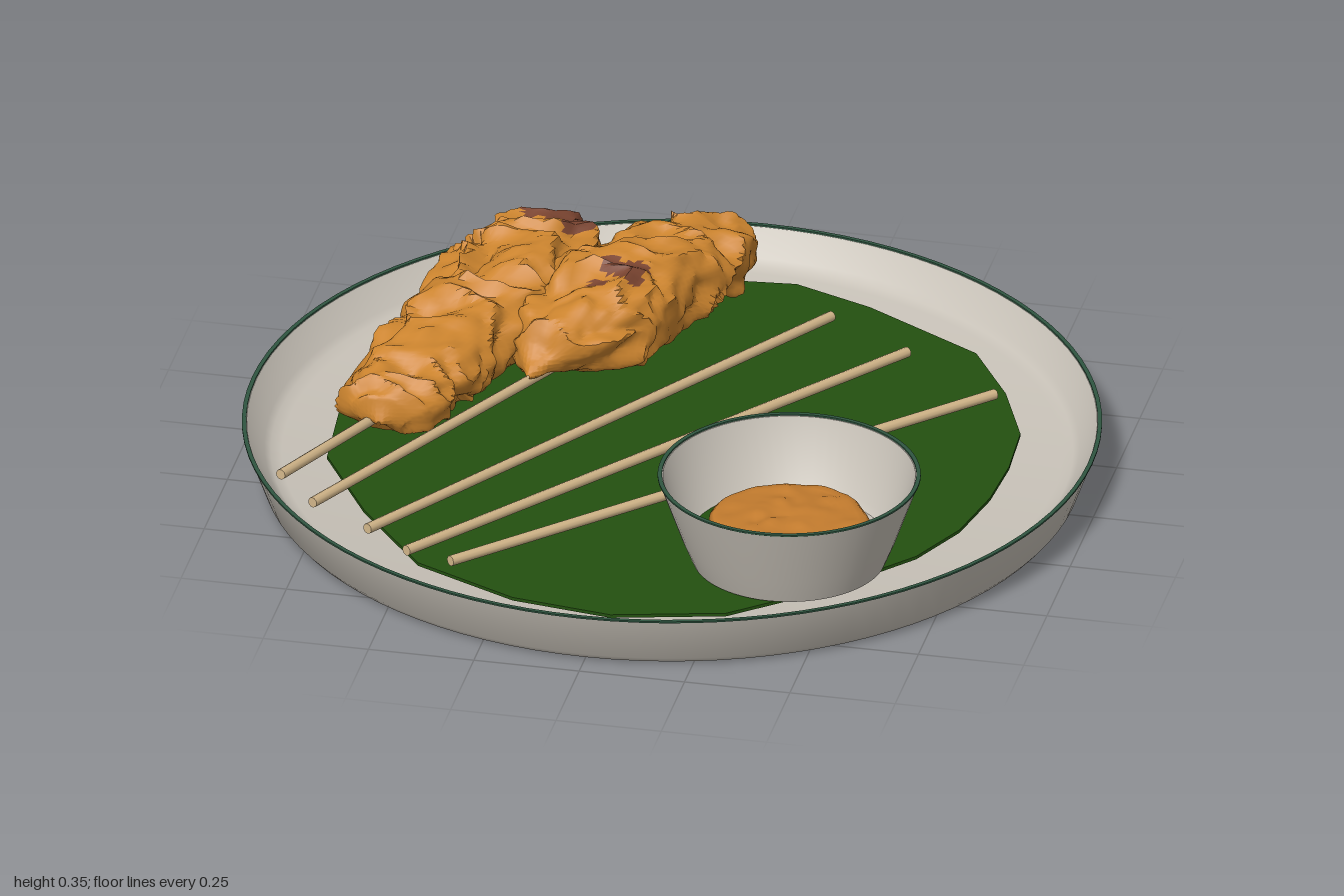
import * as THREE from 'three';
import { toCreasedNormals } from 'three/addons/utils/BufferGeometryUtils.js';

const mat = (name, color, extra = {}) => {
  const m = new THREE.MeshStandardMaterial({ color, ...extra });
  m.name = name;
  return m;
};

// Smooth seeded value noise in the range -1..1
const hash = (x, y, z) => {
  const s = Math.sin(x * 127.1 + y * 311.7 + z * 74.7) * 43758.5453;
  return s - Math.floor(s);
};
function noise(x, y, z) {
  const i = [x, y, z].map(Math.floor);
  const [u, v, w] = [x - i[0], y - i[1], z - i[2]].map((f) => f * f * (3 - 2 * f));
  let sum = 0;
  for (let c = 0; c < 8; c++) {
    const a = c & 1, b = (c >> 1) & 1, d = c >> 2;
    sum += hash(i[0] + a, i[1] + b, i[2] + d) * (a ? u : 1 - u) * (b ? v : 1 - v) * (d ? w : 1 - w);
  }
  return sum * 2 - 1;
}

const lathe = (points, segments = 96) =>
  toCreasedNormals(new THREE.LatheGeometry(points.map(([x, y]) => new THREE.Vector2(x, y)), segments), 0.5);

// Lumpy meat: cross-sections [centre x, z, half width, bottom y, top y] lofted along z
function meatGeometry(stations, patches, seed) {
  const spine = new THREE.CatmullRomCurve3(stations.map((s) => new THREE.Vector3(s[0], s[2], s[1])));
  const heights = new THREE.CatmullRomCurve3(stations.map((s) => new THREE.Vector3(s[3], s[4], 0)));
  const rows = 96, cols = 64, pos = [];
  for (let r = 0; r <= rows; r++) {
    const p = spine.getPoint(r / rows), h = heights.getPoint(r / rows);
    const cy = (h.x + h.y) / 2, ry = Math.max((h.y - h.x) / 2, 0.002), rx = Math.max(p.y, 0.002);
    for (let c = 0; c < cols; c++) {
      const a = (c / cols) * Math.PI * 2;
      const dx = Math.sign(Math.cos(a)) * Math.abs(Math.cos(a)) ** 0.85;
      const dy = Math.sign(Math.sin(a)) * Math.abs(Math.sin(a)) ** 0.85;
      const x = p.x + dx * rx, y = cy + dy * ry, z = p.z;
      // folded creases plus finer roughness
      const warp = noise(x * 9 + seed, y * 9, z * 9) * 0.9;
      const fold = 0.5 - 1.5 * Math.abs(noise(x * 10 + warp, y * 10 + seed, z * 13 - warp)) ** 0.8;
      const rough = noise(x * 34, y * 34 + seed, z * 34);
      const k = Math.min(1, rx / 0.08), push = k * (0.036 * fold + 0.009 * rough);
      const slide = k * 0.02 * noise(x * 14, y * 14, z * 14 + seed);
      pos.push(x + dx * push, y + dy * push, z + slide);
    }
  }
  const cooked = [], charred = [];
  const addFace = (a, b, c) => {
    const m = [0, 1, 2].map((k) => (pos[a * 3 + k] + pos[b * 3 + k] + pos[c * 3 + k]) / 3);
    const ragged = 1 + 0.5 * noise(m[0] * 25, m[1] * 25, m[2] * 25);
    const burnt = patches.some((q) => Math.hypot(m[0] - q[0], m[1] - q[1], m[2] - q[2]) < q[3] * ragged);
    (burnt ? charred : cooked).push(a, b, c);
  };
  for (let r = 0; r < rows; r++) {
    for (let c = 0; c < cols; c++) {
      const a = r * cols + c, b = r * cols + ((c + 1) % cols);
      addFace(a, a + cols, b);
      addFace(b, a + cols, b + cols);
    }
  }
  const g = new THREE.BufferGeometry();
  g.setAttribute('position', new THREE.Float32BufferAttribute(pos, 3));
  g.setIndex([...cooked, ...charred]);
  // stations run towards -z; flip the winding if the surface faces inward
  let volume = 0;
  const idx = g.index.array, va = new THREE.Vector3(), vb = new THREE.Vector3(), vc = new THREE.Vector3();
  for (let i = 0; i < idx.length; i += 3) {
    va.fromArray(pos, idx[i] * 3); vb.fromArray(pos, idx[i + 1] * 3); vc.fromArray(pos, idx[i + 2] * 3);
    volume += va.dot(vb.cross(vc));
  }
  if (volume < 0) for (let i = 0; i < idx.length; i += 3) [idx[i + 1], idx[i + 2]] = [idx[i + 2], idx[i + 1]];
  g.addGroup(0, cooked.length, 0);
  g.addGroup(cooked.length, charred.length, 1);
  g.computeVertexNormals();
  return toCreasedNormals(g, 0.7);
}

export function createModel() {
  const group = new THREE.Group();
  const ceramic = mat('ceramic', 0xc8c2b8);
  const glaze = mat('rimGlaze', 0x2f5540);
  const leafGreen = mat('leafGreen', 0x235010, { side: THREE.DoubleSide });
  const wood = mat('bamboo', 0xd0b488);
  const meat = mat('grilledMeat', 0xcc842e);
  const char = mat('char', 0x7a4430);
  const sauceMat = mat('sauce', 0xc47c2e);
  const add = (name, geometry, material, x = 0, y = 0, z = 0) => {
    const mesh = new THREE.Mesh(geometry, material);
    mesh.name = name;
    mesh.position.set(x, y, z);
    group.add(mesh);
    return mesh;
  };

  // Plate with sloping wall and thin glazed lip
  add('plate', lathe([[0, 0], [0.925, 0], [0.94, 0.006], [0.952, 0.02], [0.994, 0.136], [0.986, 0.136],
    [0.945, 0.075], [0.93, 0.062], [0.905, 0.056], [0, 0.056]]), ceramic);
  const lip = (r, y) => lathe([[r - 0.01, y], [r, y], [r, y + 0.004], [r - 0.01, y + 0.004], [r - 0.01, y]]);
  add('plateLip', lip(0.997, 0.136), glaze);

  // Leaf lining
  const outline = [[0.11, -0.845], [0.3, -0.77], [0.59, -0.6], [0.7, -0.42], [0.775, -0.235], [0.785, -0.07],
    [0.775, 0.09], [0.74, 0.26], [0.67, 0.41], [0.49, 0.62], [0.3, 0.78], [0.04, 0.845], [-0.2, 0.81],
    [-0.45, 0.69], [-0.63, 0.46], [-0.77, 0.22], [-0.795, -0.05], [-0.73, -0.34], [-0.63, -0.53],
    [-0.4, -0.74], [-0.155, -0.82]];
  const leafShape = new THREE.Shape(outline.map(([x, z]) => new THREE.Vector2(x, -z)));
  const leaf = new THREE.ExtrudeGeometry(leafShape, { depth: 0.008, bevelEnabled: false });
  add('leaf', leaf.rotateX(-Math.PI / 2), leafGreen, 0, 0.064, 0);

  // Dip bowl, leaf sliver inside it and sauce
  const bx = 0.385, bz = 0.485;
  add('bowl', lathe([[0, 0.07], [0.21, 0.07], [0.225, 0.078], [0.25, 0.14], [0.303, 0.291], [0.293, 0.291],
    [0.24, 0.135], [0.225, 0.12], [0, 0.118]], 64), ceramic, bx, 0, bz);
  add('bowlLip', lip(0.305, 0.291), glaze, bx, 0, bz);
  const sliver = new THREE.RingGeometry(0.18, 0.232, 32, 1, 1.85, 2.25).rotateX(-Math.PI / 2);
  add('leafSliver', sliver, leafGreen, bx, 0.128, bz);
  const saucePoints = [[0.18, 0.12], [0.186, 0.165]];
  for (let i = 11; i >= 0; i--) saucePoints.push([0.016 * i, 0.184 - 0.008 * (i / 11) ** 2]);
  const sauce = new THREE.LatheGeometry(saucePoints.map(([x, y]) => new THREE.Vector2(x, y)), 48);
  const sp = sauce.attributes.position;
  for (let i = 0; i < sp.count; i++) {
    const x = sp.getX(i), z = sp.getZ(i);
    const edge = 1 + 0.03 * noise(x * 12, 3, z * 12);
    sp.setXYZ(i, x * edge, sp.getY(i) + 0.006 * noise(x * 28, 7, z * 28), z * edge);
  }
  sauce.computeVertexNormals();
  add('sauce', sauce, sauceMat, bx, 0, bz - 0.005);

  // Skewers: front end to back end
  const sticks = [
    [[-0.81, 0.185, 0.54], [-0.305, 0.085, -0.79]],
    [[-0.71, 0.18, 0.65], [-0.06, 0.13, -0.74]],
    [[-0.56, 0.175, 0.74], [0.23, 0.09, -0.675]],
    [[-0.45, 0.172, 0.82], [0.44, 0.09, -0.54]],
    [[-0.34, 0.17, 0.845], [0.685, 0.095, -0.37]],
  ];
  for (const ends of sticks) {
    const [a, b] = ends.map((e) => new THREE.Vector3(...e));
    const stick = add('skewer', new THREE.CylinderGeometry(0.0125, 0.0125, a.distanceTo(b), 10), wood);
    stick.position.copy(a).lerp(b, 0.5);
    stick.quaternion.setFromUnitVectors(new THREE.Vector3(0, 1, 0), b.sub(a).normalize());
  }

  // Two pieces of grilled meat
  add('outerMeat', meatGeometry([
    [-0.65, 0.21, 0.004, 0.16, 0.17], [-0.645, 0.18, 0.06, 0.14, 0.215], [-0.635, 0.13, 0.12, 0.125, 0.245],
    [-0.61, 0.02, 0.13, 0.115, 0.265], [-0.565, -0.13, 0.14, 0.105, 0.295], [-0.515, -0.29, 0.15, 0.1, 0.325],
    [-0.47, -0.45, 0.162, 0.095, 0.335], [-0.43, -0.59, 0.145, 0.09, 0.325], [-0.405, -0.67, 0.09, 0.1, 0.28],
    [-0.4, -0.7, 0.004, 0.17, 0.18]], [[-0.39, 0.29, -0.65, 0.09]], 3.7), [meat, char]);
  add('innerMeat', meatGeometry([
    [-0.36, -0.08, 0.004, 0.165, 0.175], [-0.34, -0.12, 0.045, 0.145, 0.215], [-0.3, -0.18, 0.11, 0.125, 0.27],
    [-0.265, -0.28, 0.15, 0.11, 0.32], [-0.23, -0.4, 0.155, 0.1, 0.335], [-0.16, -0.55, 0.15, 0.1, 0.315],
    [-0.105, -0.68, 0.135, 0.1, 0.3], [-0.07, -0.77, 0.085, 0.11, 0.275], [-0.045, -0.82, 0.004, 0.18, 0.19]],
    [[-0.19, 0.31, -0.36, 0.055], [-0.23, 0.3, -0.3, 0.04]], 9.2), [meat, char]);

  return group;
}
